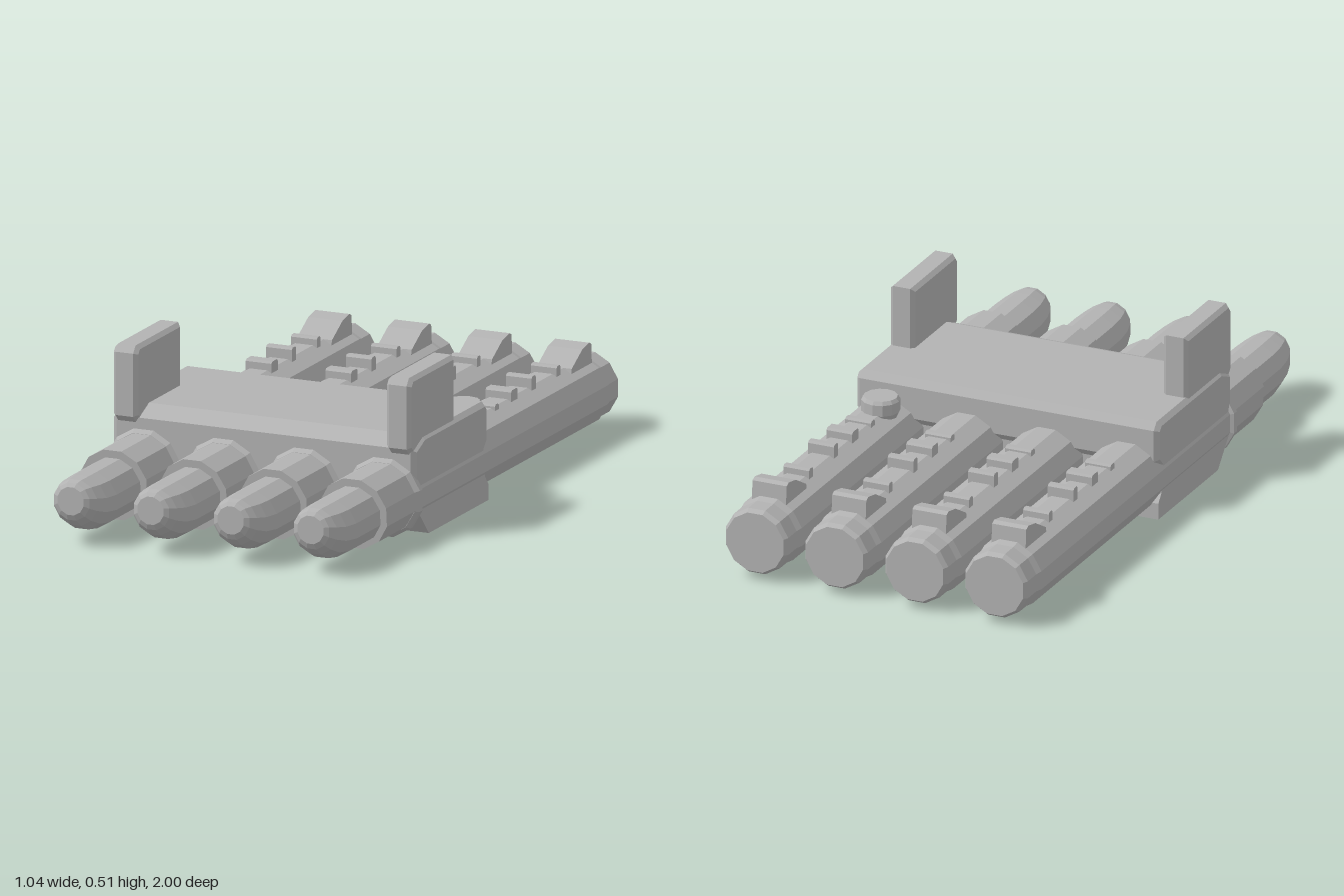
import * as THREE from 'three';

const grey = new THREE.MeshStandardMaterial({ color: 0xb2b2b2, flatShading: true });
grey.name = 'plain grey';

function part(name, geometry, parent) {
  const mesh = new THREE.Mesh(geometry, grey);
  mesh.name = name;
  parent.add(mesh);
  return mesh;
}

// Side profile of [z, y] points, extruded across x with chamfered rims
function sideExtrude(points, width, bevel = 0) {
  const shape = new THREE.Shape(points.map(([z, y]) => new THREE.Vector2(-z, y)));
  const depth = width - 2 * bevel;
  return new THREE.ExtrudeGeometry(shape, {
    depth, steps: 1, bevelEnabled: bevel > 0, bevelThickness: bevel,
    bevelSize: bevel, bevelOffset: -bevel, bevelSegments: 1,
  }).translate(0, 0, -depth / 2).rotateY(Math.PI / 2);
}

// Twelve-sided turned part along z, from [radius, z] points listed back to front
function turned(points) {
  return new THREE.LatheGeometry(points.map(([r, z]) => new THREE.Vector2(r, z)), 12, Math.PI / 12)
    .rotateX(Math.PI / 2);
}

// Move each vertex by a rule
function bend(geometry, rule) {
  const p = geometry.attributes.position, v = new THREE.Vector3();
  for (let i = 0; i < p.count; i++) {
    rule(v.fromBufferAttribute(p, i));
    p.setXYZ(i, v.x, v.y, v.z);
  }
  geometry.computeVertexNormals();
  return geometry;
}

function createBarrel() {
  const barrel = new THREE.Group();
  barrel.name = 'barrel';

  // Long tube, with a slightly slanted mouth and a stepped rear cap
  part('tube', bend(turned([
    [0, -1], [0.098, -1], [0.108, -0.985], [0.108, -0.925], [0.114, -0.9],
    [0.114, 0.69], [0.1, 0.69], [0, 0.69],
  ]), v => { if (v.z > 0.6) v.z += v.y * 0.1; }), barrel);

  part('collar', turned([
    [0.112, 0.45], [0.126, 0.455], [0.126, 0.475], [0.115, 0.49], [0.1, 0.49],
  ]), barrel);

  // Rounded nose whose tip sits above the barrel axis
  part('nose', bend(turned([
    [0.092, 0.6], [0.092, 0.86], [0.086, 0.92], [0.074, 0.965], [0.06, 0.99], [0.045, 1], [0, 1],
  ]), v => {
    const t = Math.max(0, (v.z - 0.86) / 0.14);
    v.y += -0.003 + 0.027 * t * t;
  }), barrel);

  // Raised ribs: z, height above the axis, length
  for (const [z, top, length] of [
    [-0.247, 0.122, 0.028], [-0.373, 0.138, 0.045], [-0.512, 0.146, 0.03], [-0.69, 0.135, 0.027],
  ]) {
    const a = z - length / 2, b = z + length / 2;
    part('rib', sideExtrude([
      [b, 0.09], [a, 0.09], [a, top - 0.006], [a + 0.006, top], [b - 0.006, top], [b, top - 0.006],
    ], 0.086), barrel);
  }

  // Rear wedge
  part('rearWedge', sideExtrude([
    [-0.75, 0.09], [-0.9, 0.09], [-0.895, 0.155], [-0.88, 0.162], [-0.83, 0.152], [-0.755, 0.11],
  ], 0.114), barrel);
  return barrel;
}

export function createModel() {
  const model = new THREE.Group();
  model.name = 'fourBarrelUnit';

  // Row of four barrels
  for (const x of [-0.4, -0.134, 0.134, 0.4]) {
    const barrel = createBarrel();
    barrel.position.set(x, 0.128, 0);
    model.add(barrel);
  }

  // Housing clamped across the barrels
  part('housingTop', sideExtrude([
    [0.475, 0.08], [0.475, 0.285], [0.405, 0.315], [-0.035, 0.315], [-0.055, 0.292],
    [-0.055, 0.19], [-0.03, 0.165], [-0.03, 0.08],
  ].reverse(), 1.01, 0.014), model);
  part('housingBase', sideExtrude([
    [0.45, 0.14], [0.45, 0.085], [0.375, 0.003], [-0.052, 0.003], [-0.052, 0.055],
    [-0.03, 0.08], [-0.03, 0.14],
  ], 1.01), model);

  // Upright side plates
  for (const side of [-1, 1]) {
    const plate = part('sidePlate', sideExtrude([
      [0.475, 0.27], [0.17, 0.27], [0.17, 0.51], [0.475, 0.51], [0.493, 0.488], [0.493, 0.29],
    ], 0.082, 0.012), model);
    plate.position.x = side * 0.456;
  }

  // Round knob behind the housing
  const knob = part('knob', new THREE.LatheGeometry([
    [0.05, 0], [0.06, 0.02], [0.06, 0.055], [0.052, 0.066], [0, 0.066],
  ].map(([r, y]) => new THREE.Vector2(r, y)), 12), model);
  knob.position.set(0.385, 0.217, -0.13);

  return model;
}
